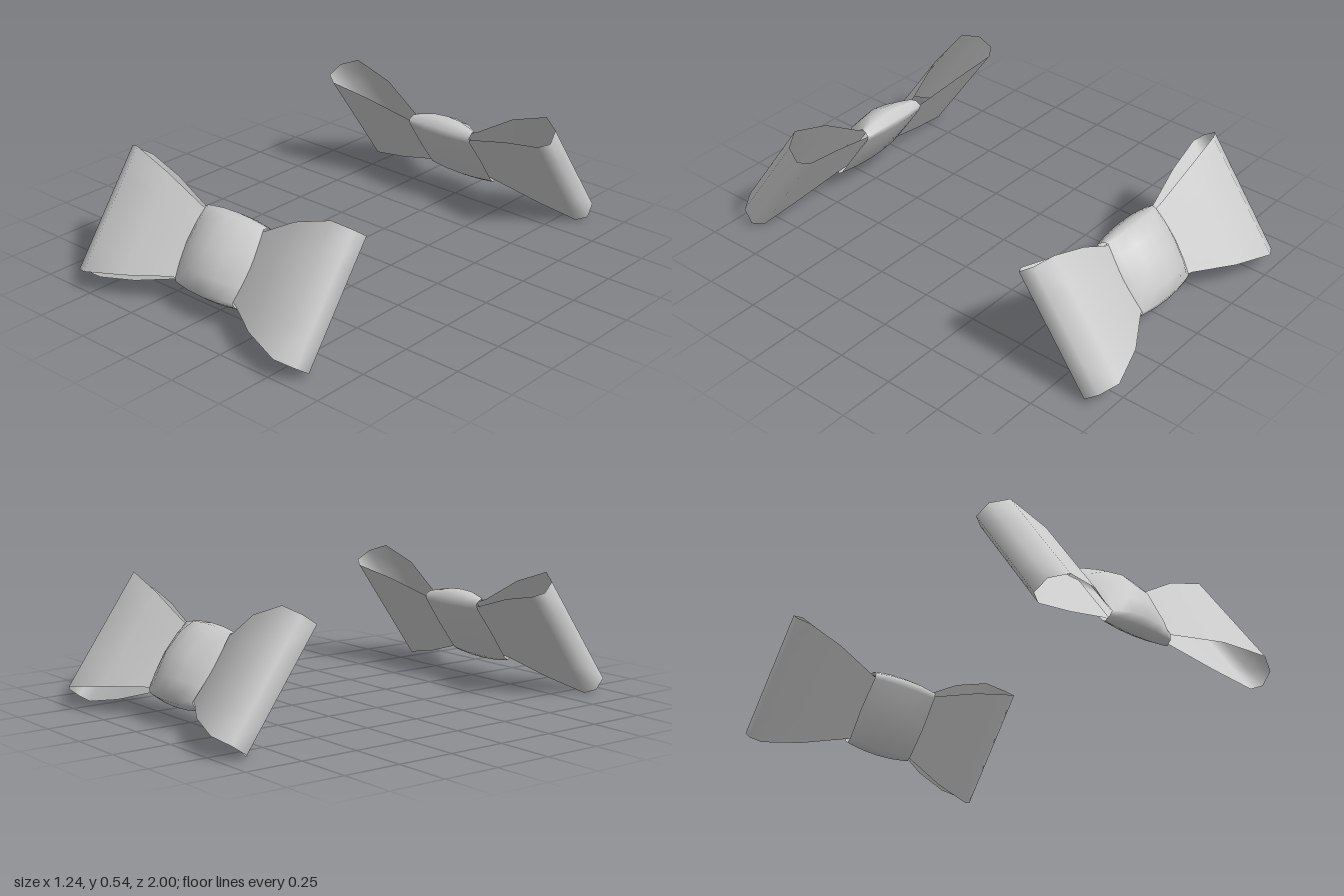
import * as THREE from 'three';

const material = new THREE.MeshStandardMaterial({ color: 0xcccccc, side: THREE.DoubleSide });

// Smooth surface through a list of rows of points; wrap joins each row's end to its start
function skin(name, rows, wrap = false) {
  const n = rows[0].length, index = [];
  for (let i = 0; i < rows.length - 1; i++) {
    for (let j = 0; j < (wrap ? n : n - 1); j++) {
      const k = (j + 1) % n;
      const a = i * n + j, b = a + n, c = (i + 1) * n + k, d = i * n + k;
      index.push(a, b, c, a, c, d);
    }
  }
  const geometry = new THREE.BufferGeometry();
  geometry.setAttribute('position', new THREE.Float32BufferAttribute(rows.flat(2), 3));
  geometry.setIndex(index);
  geometry.computeVertexNormals();
  const mesh = new THREE.Mesh(geometry, material);
  mesh.name = name;
  return mesh;
}

// Folded ribbon: [x, z, half height] from the front sheet, round the outer end, to the back sheet
const ribbon = [
  [0.13, -0.05, 0.145], [0.18, -0.03, 0.155], [0.35, 0.044, 0.224], [0.53, 0.075, 0.276],
  [0.605, 0.026, 0.276], [0.62, -0.043, 0.276], [0.575, -0.075, 0.276],
  [0.39, -0.075, 0.23], [0.17, -0.075, 0.15], [0.13, -0.075, 0.145],
];

function makeLoop(name) {
  return skin(name, ribbon.map(([x, z, h]) => [-1, -0.5, 0, 0.5, 1].map((t) => [x, t * h, z])));
}

// Upper half of the knot's band, front to back: [y at middle, z at middle, y at rim, z at rim, rim x]
const band = [
  [0, 0.045, 0, -0.032, 0.178], [0.1, 0.03, 0.09, -0.032, 0.17],
  [0.16, -0.003, 0.155, -0.035, 0.16], [0.18, -0.04, 0.166, -0.052, 0.166],
  [0.182, -0.085, 0.166, -0.08, 0.17], [0.15, -0.1, 0.145, -0.088, 0.17],
  [0, -0.104, 0, -0.088, 0.176],
];

function makeKnot() {
  const lower = band.slice(1, -1).reverse().map(([y, z, ry, rz, x]) => [-y, z, -ry, rz, x]);
  const ring = [...band, ...lower];
  const rows = [-1, -0.85, -0.45, 0, 0.45, 0.85, 1].map((t) => {
    const f = Math.abs(t) ** 2.2;
    return ring.map(([y, z, ry, rz, x]) => [t * x, y + (ry - y) * f, z + (rz - z) * f]);
  });
  return skin('knot', rows, true);
}

function makeBow(name) {
  const bow = new THREE.Group();
  bow.name = name;
  const right = makeLoop('rightLoop');
  right.scale.x = -1;
  bow.add(makeLoop('leftLoop'), right, makeKnot());
  // lean back so the face looks outward and up
  bow.rotation.x = -0.62;
  bow.position.set(0, 0.268, 0.779);
  return bow;
}

export function createModel() {
  const model = new THREE.Group();
  model.name = 'bowPair';
  const back = new THREE.Group();
  back.name = 'backSide';
  back.rotation.y = Math.PI;
  back.add(makeBow('backBow'));
  model.add(makeBow('frontBow'), back);
  return model;
}
